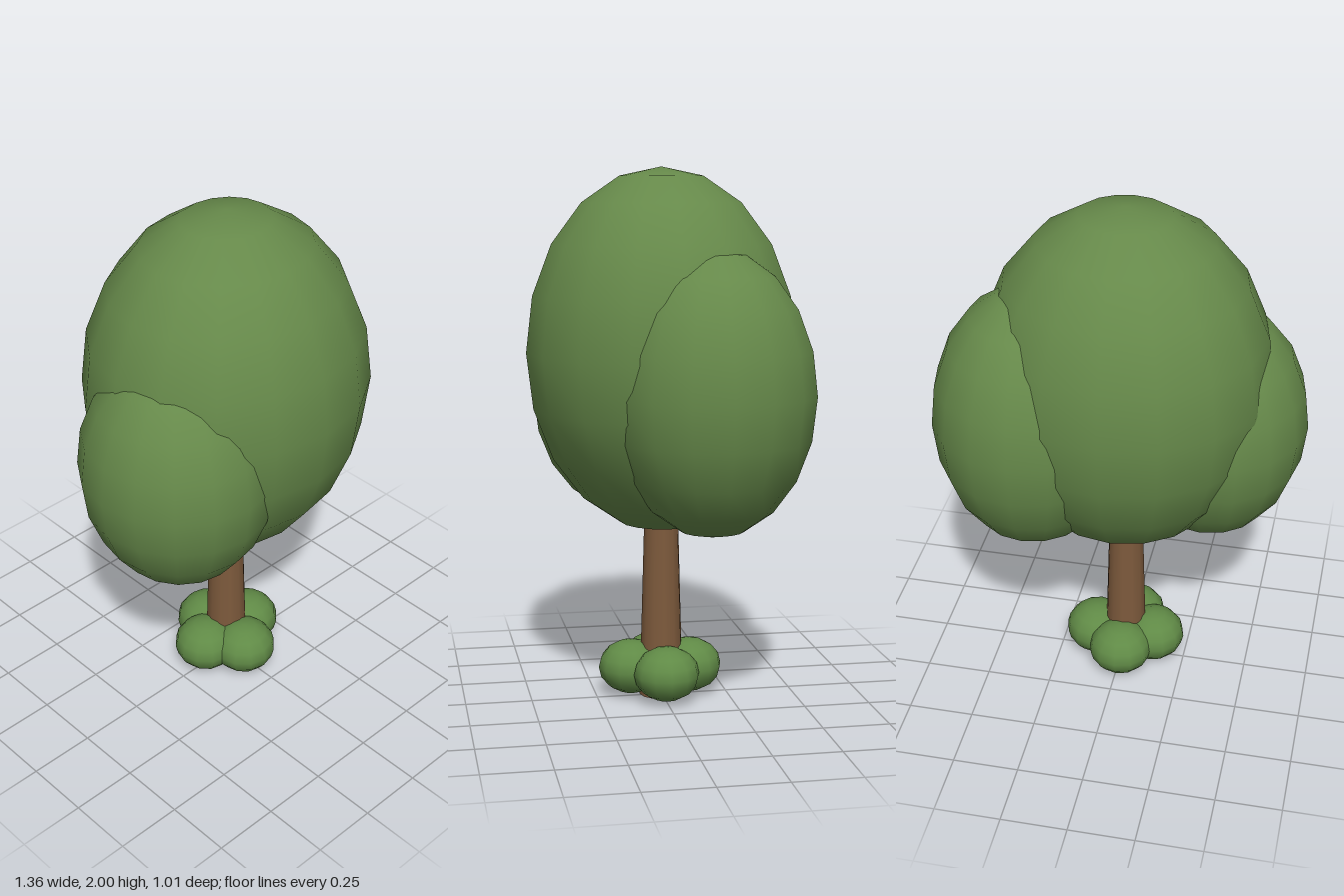
import * as THREE from 'three';

export function createModel() {
  const tree = new THREE.Group();
  tree.name = 'tree';

  const leafGreen = new THREE.MeshStandardMaterial({ name: 'leafGreen', color: 0x66894a });
  const bushGreen = new THREE.MeshStandardMaterial({ name: 'bushGreen', color: 0x608a46 });
  const barkBrown = new THREE.MeshStandardMaterial({ name: 'barkBrown', color: 0x7d5a3c });

  // Ellipsoid with the given centre and radii
  function blob(name, geometry, material, centre, radii) {
    const mesh = new THREE.Mesh(geometry, material);
    mesh.name = name;
    mesh.position.set(...centre);
    mesh.scale.set(...radii);
    tree.add(mesh);
  }

  // Crown: a tall middle mass with a smaller one on each side
  const crownGeometry = new THREE.SphereGeometry(1, 16, 10);
  blob('mainCrown', crownGeometry, leafGreen, [-0.01, 1.322, 0], [0.545, 0.678, 0.505]);
  blob('leftCrown', crownGeometry, leafGreen, [0.31, 1.195, -0.13], [0.367, 0.52, 0.375]);
  blob('rightCrown', crownGeometry, leafGreen, [-0.324, 1.13, 0.08], [0.355, 0.47, 0.368]);

  // Tapered trunk, running up into the crown
  const trunk = new THREE.Mesh(new THREE.CylinderGeometry(0.062, 0.084, 0.8, 12), barkBrown);
  trunk.name = 'trunk';
  trunk.position.set(-0.013, 0.4, 0);
  tree.add(trunk);

  // Four low bushes around the foot of the trunk
  const bushGeometry = new THREE.SphereGeometry(1, 12, 8);
  const bushes = {
    frontBush: [-0.025, 0.115],
    backBush: [-0.012, -0.107],
    leftBush: [0.103, 0],
    rightBush: [-0.124, 0],
  };
  for (const [name, [x, z]] of Object.entries(bushes)) {
    blob(name, bushGeometry, bushGreen, [x, 0.11, z], [0.125, 0.102, 0.125]);
  }

  return tree;
}
